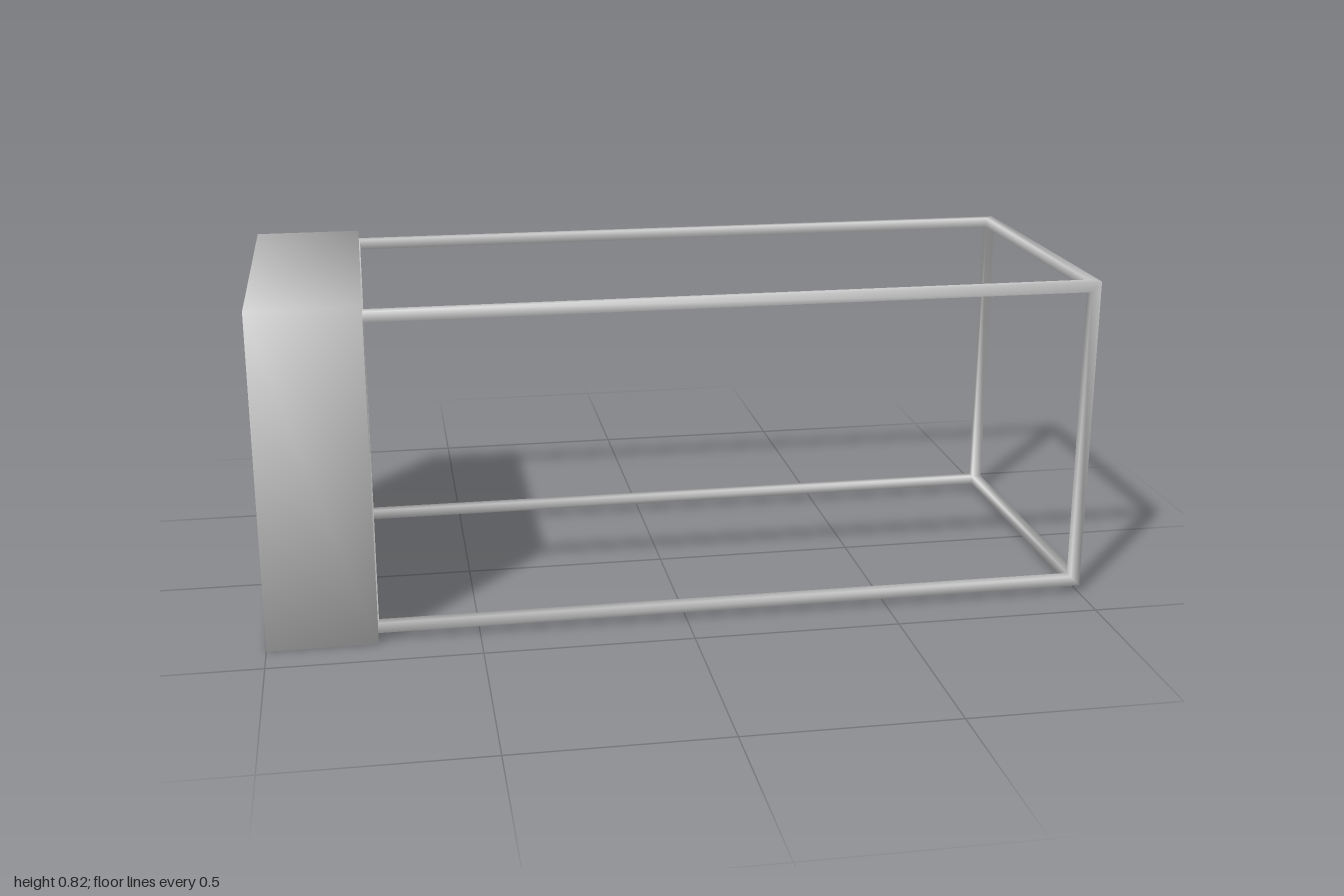
import * as THREE from 'three';

// Collects vertices with soft normals and quads oriented towards a given direction.
function quadBuilder() {
  const positions = [], normals = [], index = [];
  return {
    quad(corners, axis, sign) {
      const base = positions.length / 3;
      for (const { p, n } of corners) {
        positions.push(...p);
        normals.push(...n.clone().normalize());
      }
      const [a, b, c] = corners.map((v) => v.p);
      const facing = b.clone().sub(a).cross(c.clone().sub(a)).getComponent(axis) * sign;
      const order = facing > 0 ? [0, 1, 2, 0, 2, 3] : [0, 2, 1, 0, 3, 2];
      index.push(...order.map((i) => base + i));
    },
    build() {
      const g = new THREE.BufferGeometry();
      g.setAttribute('position', new THREE.Float32BufferAttribute(positions, 3));
      g.setAttribute('normal', new THREE.Float32BufferAttribute(normals, 3));
      g.setIndex(index);
      return g;
    },
  };
}

// Block whose eight corners share soft normals.
function softBlock(half) {
  const builder = quadBuilder();
  for (let axis = 0; axis < 3; axis++) {
    for (const sign of [-1, 1]) {
      const ring = [[-1, -1], [1, -1], [1, 1], [-1, 1]].map(([u, v]) => {
        const s = [0, 0, 0];
        s[axis] = sign;
        s[(axis + 1) % 3] = u;
        s[(axis + 2) % 3] = v;
        const n = new THREE.Vector3(...s);
        return { p: n.clone().multiply(half), n, odd: s[0] * s[1] * s[2] < 0 };
      });
      // Split each face along the diagonal between alternate corners
      if (!ring[0].odd) ring.push(ring.shift());
      builder.quad(ring, axis, sign);
    }
  }
  return builder.build();
}

// Wire cage: twelve square bars mitred together at the corners.
function barCage(half, t) {
  const builder = quadBuilder();
  const h = half.toArray();
  const corner = (s, inset) => ({
    p: new THREE.Vector3(...s.map((v, i) => v * (h[i] - (inset.includes(i) ? t : 0)))),
    n: new THREE.Vector3(...s.map((v, i) => v * (inset.includes(i) ? -1 : 3))),
  });
  for (let a = 0; a < 3; a++) {
    const b = (a + 1) % 3, c = (a + 2) % 3;
    for (const sb of [-1, 1]) {
      for (const sc of [-1, 1]) {
        const at = (end, inset) => {
          const s = [0, 0, 0];
          s[a] = end; s[b] = sb; s[c] = sc;
          return corner(s, inset);
        };
        const strip = (m1, m2, axis, sign) =>
          builder.quad([at(-1, m1), at(-1, m2), at(1, m2), at(1, m1)], axis, sign);
        const outer = [], onB = [a, c], onC = [a, b], inner = [a, b, c];
        strip(outer, onB, b, sb);
        strip(outer, onC, c, sc);
        strip(onB, inner, c, -sc);
        strip(onC, inner, b, -sb);
      }
    }
  }
  return builder.build();
}

export function createModel() {
  const model = new THREE.Group();
  model.name = 'blockWithCage';
  const grey = new THREE.MeshStandardMaterial({ color: 0xcccccc });
  grey.name = 'light grey';

  // Solid end block
  const block = new THREE.Mesh(softBlock(new THREE.Vector3(0.13, 0.409, 0.409)), grey);
  block.name = 'endBlock';
  block.position.set(-0.87, 0.409, 0);

  // Open cage, its near end sunk into the block
  const cage = new THREE.Mesh(barCage(new THREE.Vector3(0.881, 0.391, 0.391), 0.025), grey);
  cage.name = 'cage';
  cage.position.set(0.119, 0.411, 0);

  model.add(block, cage);
  return model;
}
